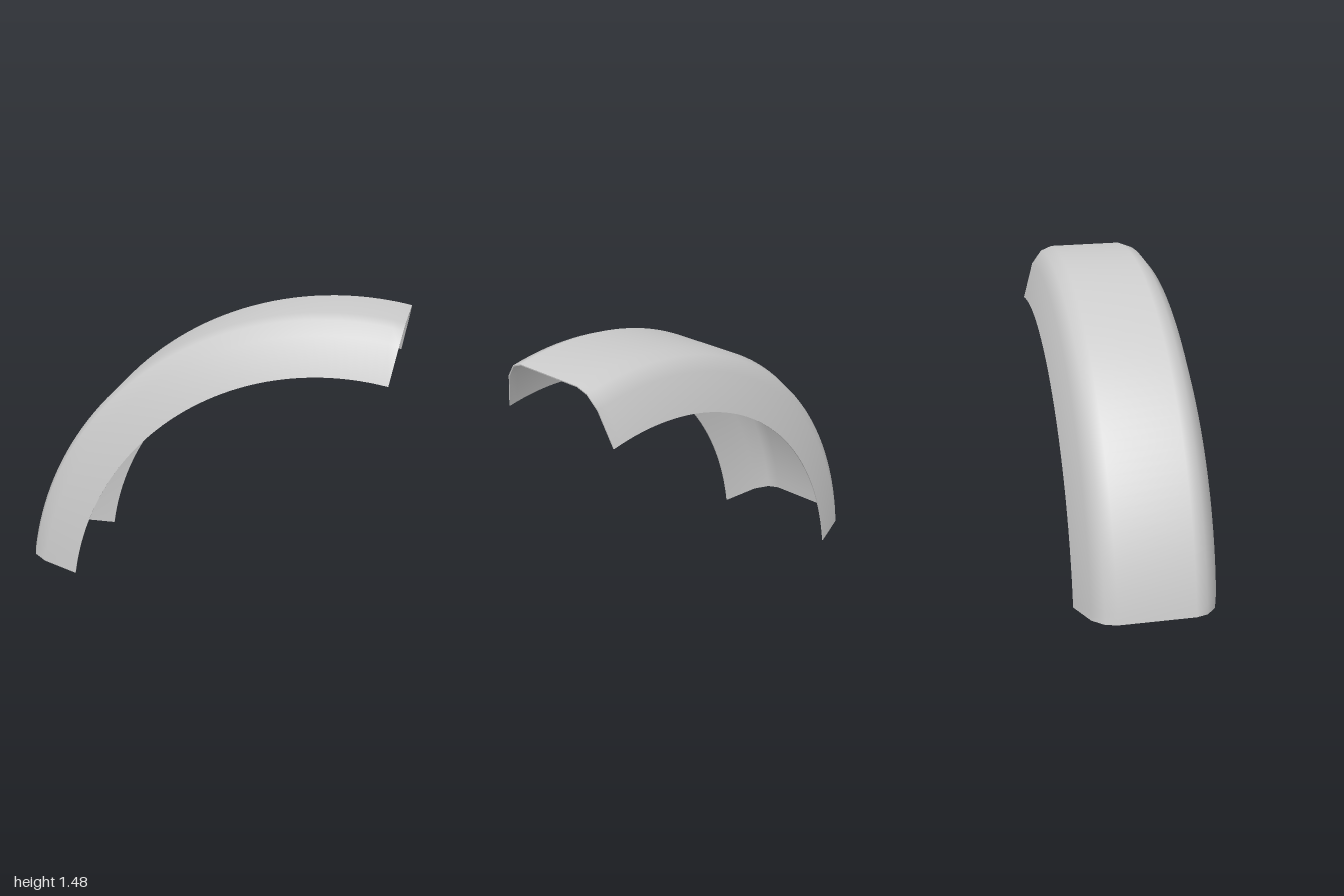
import * as THREE from 'three';

// Arc of the fender in the x-y plane, and its half cross-section as [z, radius]
const CX = 0.659, CY = -0.195;
const START = THREE.MathUtils.degToRad(171.75), END = THREE.MathUtils.degToRad(78.3);
const SEGMENTS = 48;
const OUTER = [[0.377, 1.387], [0.318, 1.583], [0.262, 1.655], [0.2, 1.679]];
const INNER = [[0.371, 1.387], [0.312, 1.58], [0.258, 1.65], [0.198, 1.673]];

const mirrored = (half) => [...half, ...half.map(([z, r]) => [-z, r]).reverse()];

// Grid surface through rows of points
function loft(rows) {
  const n = rows[0].length, index = [];
  for (let i = 0; i < rows.length - 1; i++) {
    for (let j = 0; j < n - 1; j++) {
      const a = i * n + j, b = a + 1, c = a + n, d = c + 1;
      index.push(a, c, b, b, c, d);
    }
  }
  const g = new THREE.BufferGeometry();
  g.setAttribute('position', new THREE.Float32BufferAttribute(rows.flat(2), 3));
  g.setIndex(index);
  g.computeVertexNormals();
  return g;
}

const place = (profile, t) => {
  const a = START + (END - START) * t;
  return profile.map(([z, r]) => [CX + r * Math.cos(a), CY + r * Math.sin(a), z]);
};

// Sweep a profile along the arc
const sweep = (profile) =>
  loft(Array.from({ length: SEGMENTS + 1 }, (_, i) => place(profile, i / SEGMENTS)));

export function createModel() {
  const group = new THREE.Group();
  group.name = 'fender';
  const paint = new THREE.MeshStandardMaterial({ color: 0xcccccc });
  paint.name = 'light grey';
  const add = (name, geometry) => {
    const mesh = new THREE.Mesh(geometry, paint);
    mesh.name = name;
    group.add(mesh);
  };

  const outer = mirrored(OUTER), inner = mirrored(INNER);
  const last = outer.length - 1;

  // Outer skin and the inner skin facing the wheel
  add('outerSkin', sweep(outer));
  add('innerSkin', sweep([...inner].reverse()));

  // Thin rims along both lower edges
  add('leftRim', sweep([inner[0], outer[0]]));
  add('rightRim', sweep([outer[last], inner[last]]));

  // Thin end edges closing the sheet
  add('lowerEndEdge', loft([place(inner, 0), place(outer, 0)]));
  add('upperEndEdge', loft([place(outer, 1), place(inner, 1)]));
  return group;
}
